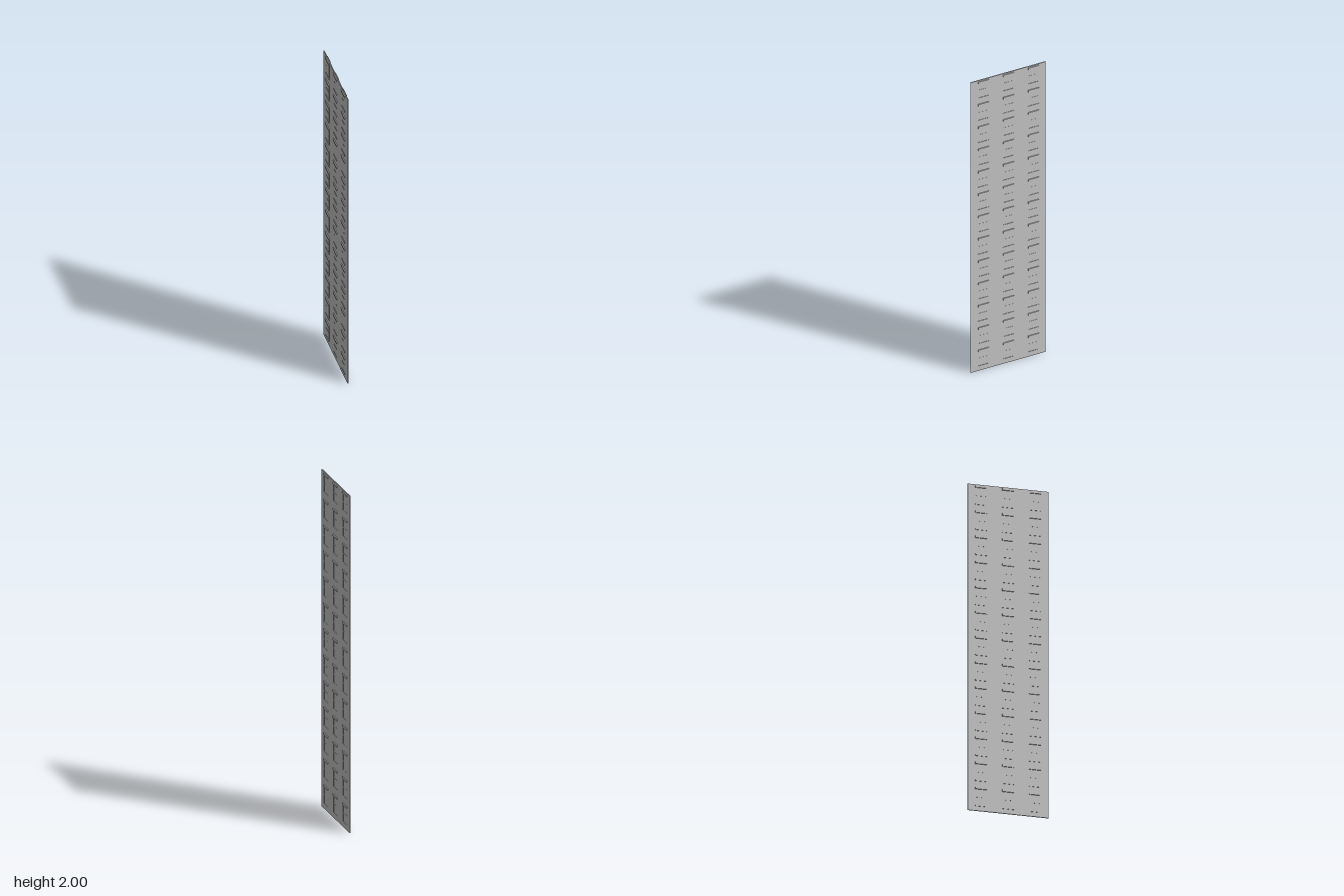
import * as THREE from 'three';

const ROWS = 13, COLS = 3, PITCH = 0.154;
const WIN_W = 0.067, WIN_H = 0.107, BAR = 0.005;

const material = new THREE.MeshStandardMaterial({ color: 0xcccccc, flatShading: true });

function box(name, depth, height, width, y, z) {
  const mesh = new THREE.Mesh(new THREE.BoxGeometry(depth, height, width), material);
  mesh.name = name;
  mesh.position.set(0, y, z);
  return mesh;
}

// One window, running through the wall and showing on both faces
function createWindow() {
  const win = new THREE.Group();
  win.name = 'window';
  win.add(box('lintel', 0.016, 0.012, WIN_W, WIN_H, 0));
  win.add(box('sill', 0.010, 0.006, WIN_W, 0, 0));
  win.add(box('crossBar', 0.007, BAR, WIN_W - 2 * BAR, WIN_H / 2, 0));
  for (const side of [-1, 1]) {
    win.add(box('frameSide', 0.007, WIN_H, BAR, WIN_H / 2, side * (WIN_W - BAR) / 2));
  }
  return win;
}

export function createModel() {
  const model = new THREE.Group();
  model.name = 'windowWall';

  // Thin upright wall panel
  model.add(box('wallPanel', 0.0054, 2, 0.462, 1, 0));

  // Regular grid of windows
  for (let row = 0; row < ROWS; row++) {
    for (let col = 0; col < COLS; col++) {
      const win = createWindow();
      win.position.set(0, 0.031 + row * PITCH, (col - 1) * PITCH - 0.001);
      model.add(win);
    }
  }
  return model;
}
